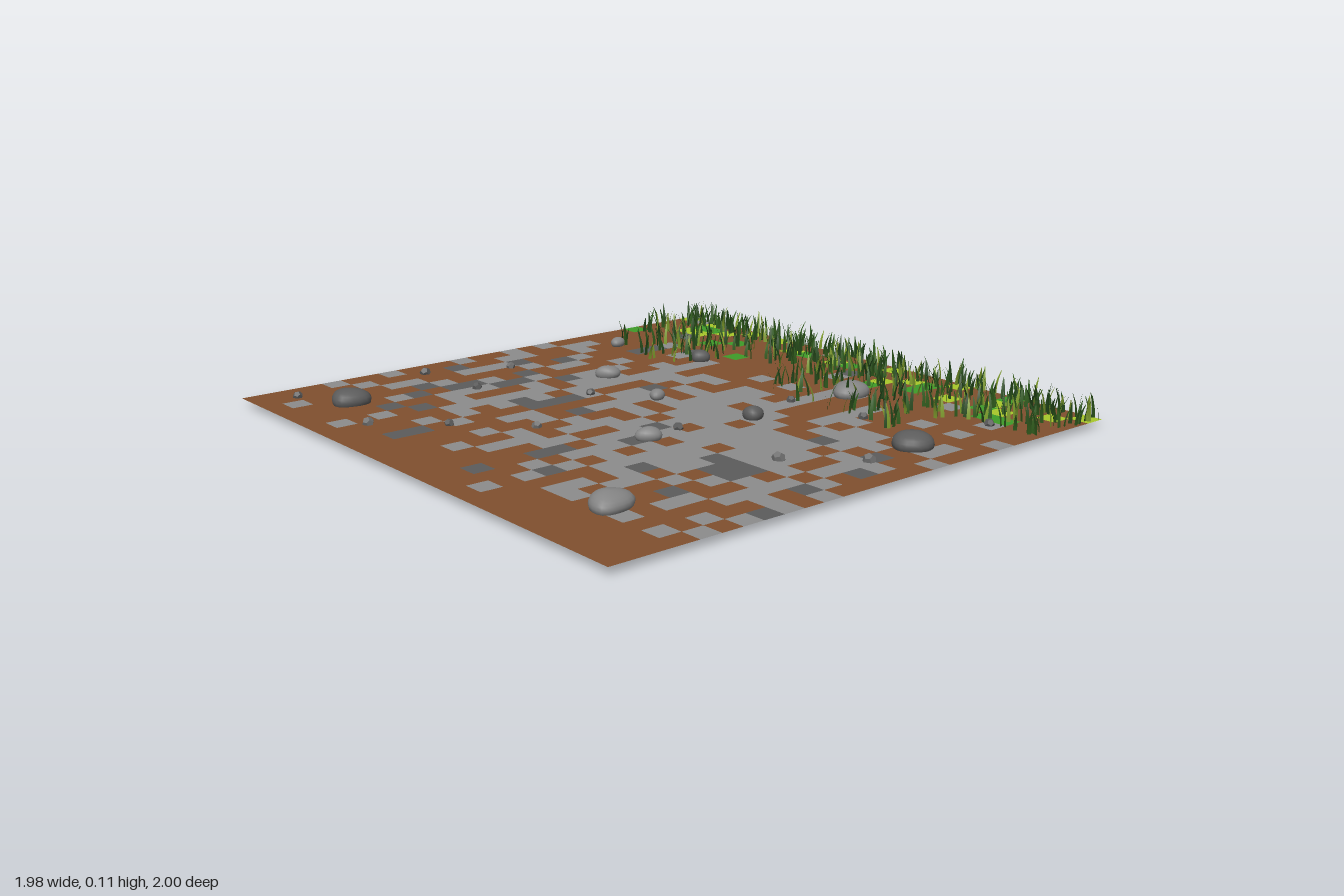
import * as THREE from 'three';
import { mergeGeometries } from 'three/addons/utils/BufferGeometryUtils.js';

const GROUND_Y = 0.03;
const MIN_X = -0.988, MIN_Z = -0.976, SIZE = 1.974;

// Tile pattern: . soil, 1 gravel, 2 dark gravel, 3 moss, 4 bright moss
const TILES = [
  '414..4.4...1...4...4..3...4',
  '..334....43.43...43...4..4.',
  '..44..3.......2.4.3.4.34...',
  '...2.3........1.3....1.33..',
  '3.......3...............1..',
  '....1.2.........11.........',
  '....2.1.1...1.1.1..1..1.1.1',
  '....2...1.......1..1.......',
  '.1.....11.11.11.1..11..1.1.',
  '.11..1..111..1111..1.11.11.',
  '1..1..1.11.1111.11..1111..1',
  '...21.111.2..111111..21.2..',
  '11..1.111.1111111.1111.111.',
  '.121..211.11..111111111.12.',
  '..1.21..11.111.1.111111.1..',
  '1.1..211.2.1..12111.1111.1.',
  '.21.12.112.2.1111.11222.121',
  '....21.122..11.1211112211..',
  '...121.11.11.1.11.111.1.111',
  '1.12.111..1...1.1112.1..1.2',
  '..1.2..11...11121.111.21..1',
  '.1..1.2..1.1.1.2.1..1..1.1.',
  '1....2..1....1..12.1.1....1',
  '......1..2..1....1.11..1.1.',
  '.........2.....2...........',
  '..1...1..........1.........',
  '...........................',
];
const TILE_STYLES = {
  '.': ['soil', 0x80502e], 1: ['gravel', 0x8c8c8c], 2: ['darkGravel', 0x5c5c5c],
  3: ['moss', 0x3f9b28], 4: ['brightMoss', 0xa8c82a],
};

// Large smooth stones: x, z, half width, half height, half depth, turn, shade
const STONES = [
  [0.27, -0.58, 0.06, 0.035, 0.07, 0.4, 0x858585],
  [0.8, -0.29, 0.063, 0.038, 0.063, 0, 0x5c5c5c],
  [-0.71, 0.75, 0.064, 0.038, 0.063, 0.5, 0x5c5c5c],
  [0.65, 0.73, 0.06, 0.036, 0.075, 0.5, 0x858585],
  [-0.44, -0.11, 0.031, 0.026, 0.045, -0.6, 0x858585],
  [0.235, 0.26, 0.03, 0.026, 0.044, -0.5, 0x858585],
  [-0.105, -0.055, 0.025, 0.02, 0.032, 0.7, 0x858585],
  [-0.78, -0.42, 0.025, 0.02, 0.032, 0.6, 0x858585],
  [-0.41, -0.51, 0.034, 0.027, 0.033, 0.2, 0x5c5c5c],
  [0.27, -0.14, 0.034, 0.027, 0.034, 0.9, 0x5c5c5c],
];
// Small angular pebbles: x, z
const PEBBLES = [
  [-0.76, 0.08], [-0.29, 0.08], [0.21, 0.12], [0.635, 0.1], [-0.88, 0.36],
  [-0.595, 0.33], [-0.085, 0.445], [-0.28, 0.64], [-0.88, 0.85], [-0.45, 0.83],
  [0.205, -0.37], [0.495, -0.405], [0.815, -0.09], [0.8, -0.65],
];

function makeRandom(seed) {
  return () => {
    seed = (seed * 16807) % 2147483647;
    return seed / 2147483647;
  };
}

function material(color, options = {}) {
  return new THREE.MeshStandardMaterial({ color, ...options });
}

function addMesh(parent, name, geometry, mat) {
  const mesh = new THREE.Mesh(geometry, mat);
  mesh.name = name;
  parent.add(mesh);
  return mesh;
}

// One flat layer of square tiles per colour
function createGround() {
  const ground = new THREE.Group();
  ground.name = 'ground';
  const step = SIZE / TILES.length;
  for (const [key, [name, color]] of Object.entries(TILE_STYLES)) {
    const squares = [];
    TILES.forEach((row, r) => [...row].forEach((tile, c) => {
      if (tile !== key) return;
      squares.push(new THREE.PlaneGeometry(step, step).rotateX(-Math.PI / 2)
        .translate(MIN_X + (c + 0.5) * step, GROUND_Y, MIN_Z + (r + 0.5) * step));
    }));
    addMesh(ground, name + 'Tiles', mergeGeometries(squares), material(color, { side: THREE.DoubleSide }));
  }
  return ground;
}

// Egg-shaped boulder, narrower towards one end, with a gently uneven skin
function stoneGeometry(seed) {
  const geometry = new THREE.SphereGeometry(1, 18, 12);
  const p = geometry.attributes.position;
  const v = new THREE.Vector3();
  for (let i = 0; i < p.count; i++) {
    v.fromBufferAttribute(p, i);
    const bump = 1 + 0.05 * Math.sin(3 * v.x + seed) * Math.cos(3 * v.z + 2 * seed);
    p.setXYZ(i, v.x * (1 - 0.2 * v.z) * bump, v.y * bump, v.z * bump);
  }
  geometry.computeVertexNormals();
  return geometry;
}

function createStones() {
  const stones = new THREE.Group();
  stones.name = 'stones';
  STONES.forEach(([x, z, w, h, d, turn, shade], i) => {
    const stone = addMesh(stones, 'stone', stoneGeometry(i), material(shade));
    stone.position.set(x, 0.043, z);
    stone.rotation.y = turn;
    stone.scale.set(w, h, d);
  });
  const random = makeRandom(77);
  PEBBLES.forEach(([x, z], i) => {
    const s = 0.016 + 0.005 * random();
    const pebble = addMesh(stones, 'pebble', new THREE.DodecahedronGeometry(s, 0),
      material(i % 3 ? 0x5c5c5c : 0x707070, { flatShading: true }));
    pebble.position.set(x, 0.035, z);
    pebble.rotation.set(random(), random() * 3, random());
  });
  return stones;
}

// Tapered, leaning blade built from cross-sections
function bladeGeometry(x, z, height, lean, turn) {
  const positions = [], index = [], rows = 3;
  for (let i = 0; i <= rows; i++) {
    const t = i / rows;
    const half = 0.0065 * (1 - 0.85 * t * t);
    positions.push(-half, t * height, lean * t * t, half, t * height, lean * t * t);
    const a = i * 2;
    if (i < rows) index.push(a, a + 1, a + 2, a + 1, a + 3, a + 2);
  }
  const geometry = new THREE.BufferGeometry();
  geometry.setAttribute('position', new THREE.Float32BufferAttribute(positions, 3));
  geometry.setIndex(index);
  geometry.computeVertexNormals();
  return geometry.rotateY(turn).translate(x, GROUND_Y, z);
}

// Grass thick along the back edge, thinning forward in two patches
function createGrass() {
  const grass = new THREE.Group();
  grass.name = 'grass';
  const random = makeRandom(4211);
  const colors = [0x2f5a1c, 0x24481a, 0x7d9a2c];
  const blades = colors.map(() => []);
  for (let i = 0; i < 620; i++) {
    const x = -0.98 + 1.96 * random();
    const inPatch = (x > -0.82 && x < -0.35) || (x > 0 && x < 0.65);
    const z = -0.975 + (inPatch ? 0.6 : 0.33) * Math.pow(random(), 1.6);
    const height = 0.055 + 0.03 * random();
    const lean = 0.008 + 0.02 * random();
    const turn = random() * Math.PI * 2;
    const pick = random();
    blades[pick < 0.45 ? 0 : pick < 0.8 ? 1 : 2].push(bladeGeometry(x, z, height, lean, turn));
  }
  blades.forEach((list, i) => addMesh(grass, 'grassBlades', mergeGeometries(list),
    material(colors[i], { side: THREE.DoubleSide })));
  return grass;
}

export function createModel() {
  const model = new THREE.Group();
  model.name = 'groundPatch';
  model.add(createGround(), createStones(), createGrass());
  return model;
}
